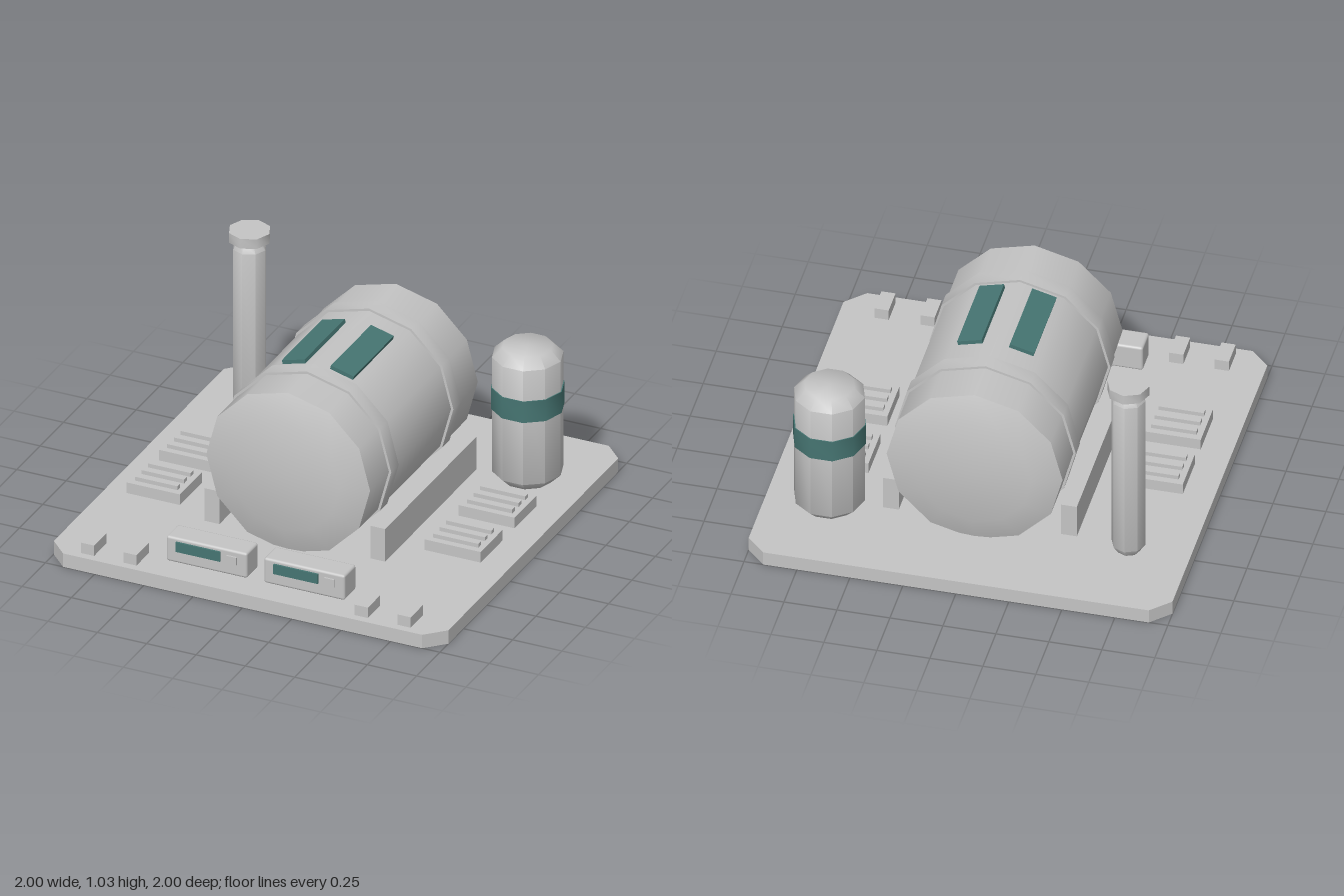
import * as THREE from 'three';
import { toCreasedNormals } from 'three/addons/utils/BufferGeometryUtils.js';
import { RoundedBoxGeometry } from 'three/addons/geometries/RoundedBoxGeometry.js';

const grey = new THREE.MeshStandardMaterial({ color: 0xc4c4c4 });
grey.name = 'light grey';
const teal = new THREE.MeshStandardMaterial({ color: 0x467572 });
teal.name = 'teal';

const FLOOR = 0.07;

export function createModel() {
  const root = new THREE.Group();
  root.name = 'tankPlatform';

  const add = (name, geometry, material, x = 0, y = 0, z = 0, parent = root) => {
    const mesh = new THREE.Mesh(geometry, material);
    mesh.name = name;
    mesh.position.set(x, y, z);
    parent.add(mesh);
    return mesh;
  };
  const box = (w, h, d) => new THREE.BoxGeometry(w, h, d);

  // Solid of revolution about y, smooth across gentle bends
  const turned = (sides, profile) => toCreasedNormals(
    new THREE.LatheGeometry(profile.map(([r, y]) => new THREE.Vector2(r, y)), sides), 0.9);
  const drum = (sides, r, y0, y1) => turned(sides, [[0, y0], [r, y0], [r, y1], [0, y1]]);
  const bevelled = (sides, r, endR, y0, y1, bevel) => turned(sides, [
    [0, y0], [endR, y0], [r, y0 + bevel], [r, y1 - bevel], [endR, y1], [0, y1]]);

  // Base plate with clipped corners
  const c = 0.91;
  const outline = new THREE.Shape([[-c, -1], [c, -1], [1, -c], [1, c], [c, 1], [-c, 1], [-1, c], [-1, -c]]
    .map(([x, y]) => new THREE.Vector2(x, y)));
  add('basePlate', new THREE.ExtrudeGeometry(outline, { depth: FLOOR, bevelEnabled: false })
    .rotateX(-Math.PI / 2), grey);

  // Horizontal tank with two raised bands
  const tankY = 0.465;
  add('tank', bevelled(12, 0.415, 0.28, -0.69, 0.56, 0.048).rotateX(Math.PI / 2), grey, 0, tankY);
  for (const [z0, z1] of [[-0.435, -0.355], [0.23, 0.31]])
    add('tankBand', drum(12, 0.427, z0, z1).rotateX(Math.PI / 2), grey, 0, tankY);

  for (const s of [-1, 1]) {
    // Tinted panels lying on the top facets
    const panel = add('tankPanel', box(0.12, 0.02, 0.43), teal, s * 0.122, 0.857, -0.02);
    panel.rotation.z = -s * Math.PI / 12;
    // Side rails
    add('tankRail', box(0.075, 0.17, 0.98), grey, s * 0.42, FLOOR + 0.085, -0.05);
  }

  // Upright vessel with coloured band
  add('vessel', bevelled(10, 0.167, 0.118, FLOOR, 0.76, 0.048).rotateY(Math.PI / 2), grey, 0.702, 0, -0.57);
  add('vesselBand', drum(10, 0.172, 0.445, 0.555).rotateY(Math.PI / 2), teal, 0.702, 0, -0.57);

  // Exhaust stack
  add('stack', bevelled(8, 0.08, 0.054, FLOOR, 0.98, 0.04), grey, -0.71, 0, -0.575);
  add('stackCap', drum(8, 0.1, 0.98, 1.03), grey, -0.71, 0, -0.575);

  // Slatted vents
  const vents = [
    [-0.73, 0.108, -0.047, 0.27], [-0.73, 0.108, 0.298, 0.27],
    [0.722, 0.08, -0.203, 0.285], [0.722, 0.08, 0.16, 0.285],
  ];
  for (const [x, y, z, w] of vents) {
    const vent = new THREE.Group();
    vent.name = 'vent';
    vent.position.set(x, y, z);
    root.add(vent);
    add('ventBody', box(w, 0.055, 0.235), grey, 0, 0.0275, 0, vent);
    for (const dz of [-0.07, 0, 0.07])
      add('ventSlat', box(w - 0.055, 0.022, 0.03), grey, 0, 0.064, dz, vent);
  }

  // Control consoles, both with the screen towards their right
  for (const x of [-0.25, 0.245]) {
    const desk = new THREE.Group();
    desk.name = 'console';
    desk.position.set(x, 0, 0);
    root.add(desk);
    add('consoleBody', new RoundedBoxGeometry(0.41, 0.13, 0.125, 2, 0.012), grey, 0, 0.135, 0.7975, desk);
    add('consoleScreen', box(0.225, 0.05, 0.009), teal, -0.04, 0.157, 0.8645, desk);
    add('consoleButton', box(0.05, 0.04, 0.009), grey, 0.13, 0.152, 0.8645, desk);
  }

  // Small blocks along the front edge
  for (const x of [-0.805, -0.59, 0.583, 0.8])
    add('frontBlock', box(0.067, 0.054, 0.132), grey, x, FLOOR + 0.027, 0.895);

  return root;
}
